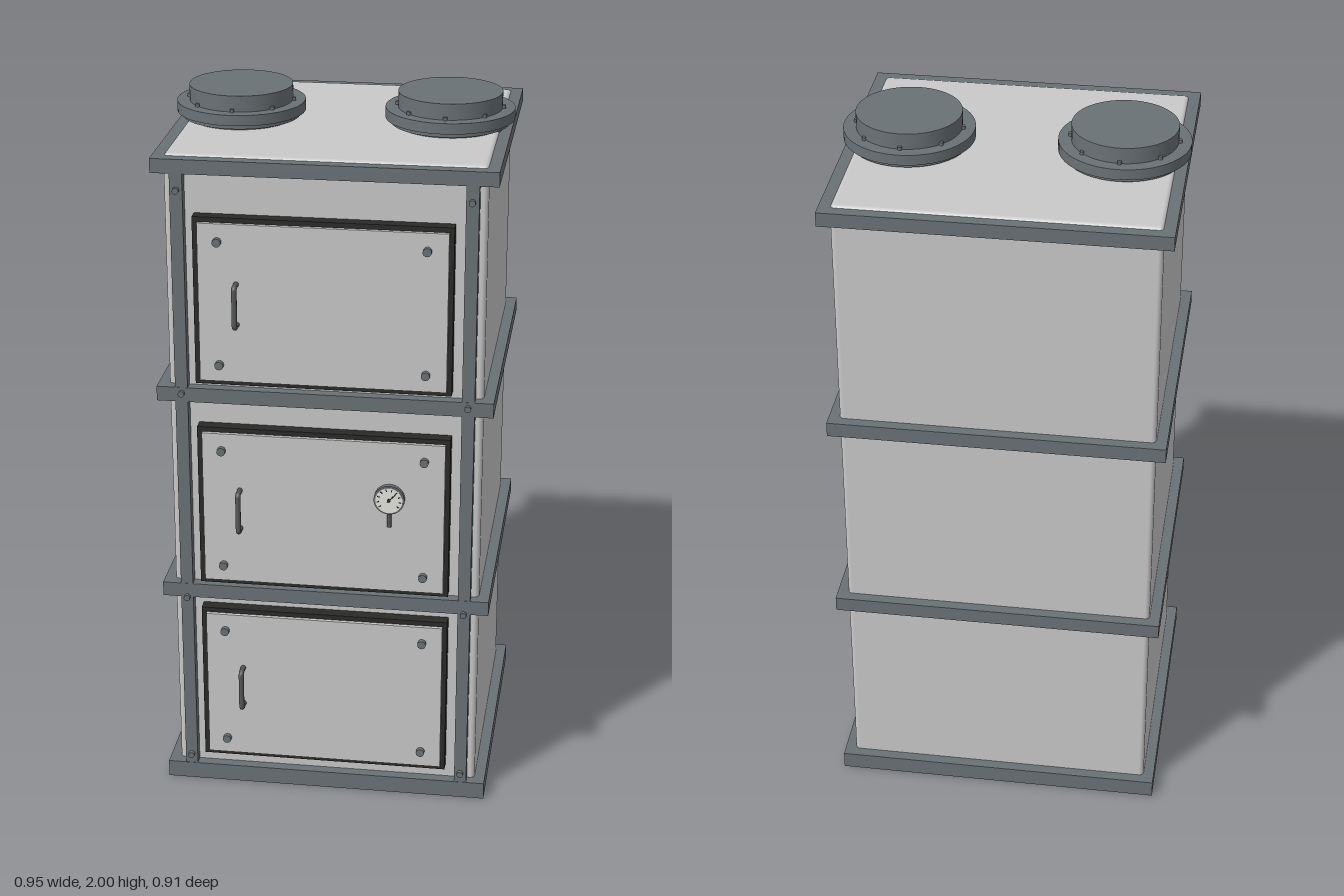
import * as THREE from 'three';
import { RoundedBoxGeometry } from 'three/addons/geometries/RoundedBoxGeometry.js';

const mat = (name, color) => {
  const m = new THREE.MeshStandardMaterial({ color });
  m.name = name;
  return m;
};

export function createModel() {
  const panel = mat('light grey panel', 0xc9c9c9);
  const steel = mat('frame steel', 0x6a7175);
  const rubber = mat('black gasket', 0x2a2a28);
  const handleMat = mat('dark handle', 0x55585a);
  const dialMat = mat('dial white', 0xe6e6e0);

  const root = new THREE.Group();
  root.name = 'stackedCabinet';

  const add = (parent, name, geo, m, x = 0, y = 0, z = 0) => {
    const mesh = new THREE.Mesh(geo, m);
    mesh.name = name;
    mesh.position.set(x, y, z);
    parent.add(mesh);
    return mesh;
  };
  const box = (parent, name, m, x0, x1, y0, y1, z0, z1) =>
    add(parent, name, new THREE.BoxGeometry(x1 - x0, y1 - y0, z1 - z0), m,
      (x0 + x1) / 2, (y0 + y1) / 2, (z0 + z1) / 2);
  // Short cylinder facing forward, from z0 to z1
  const stud = (parent, name, m, r, x, y, z0, z1, sides = 16) => {
    const geo = new THREE.CylinderGeometry(r, r, z1 - z0, sides).rotateX(Math.PI / 2);
    return add(parent, name, geo, m, x, y, (z0 + z1) / 2);
  };

  // Main body with softened edges, rising just above the top rail
  add(root, 'body', new RoundedBoxGeometry(0.874, 1.886, 0.795, 4, 0.014), panel, 0, 0.963, -0.0275);

  // Horizontal rails
  for (const [y0, y1] of [[0, 0.05], [0.6, 0.642], [1.205, 1.247], [1.86, 1.9]])
    box(root, 'rail', steel, -0.467, 0.467, y0, y1, -0.455, 0.4);

  // Front posts and their screws
  for (const s of [-1, 1]) {
    box(root, 'frontPost', steel, s * 0.3975 - 0.0175, s * 0.3975 + 0.0175, 0.04, 1.87, 0.355, 0.399);
    for (const y of [0.08, 0.6, 1.23, 1.815])
      stud(root, 'postScrew', steel, 0.009, s * 0.397, y, 0.39, 0.411);
  }

  // Doors with gasket, corner bolts and handle
  for (const y of [0.332, 0.895, 1.505]) {
    const door = new THREE.Group();
    door.name = 'door';
    door.position.y = y;
    root.add(door);
    box(door, 'doorGasket', rubber, -0.355, 0.352, -0.24, 0.24, 0.36, 0.405);
    box(door, 'doorPanel', panel, -0.34, 0.339, -0.226, 0.226, 0.39, 0.416);
    for (const x of [-0.285, 0.282])
      for (const dy of [-0.177, 0.176])
        stud(door, 'doorBolt', steel, 0.012, x, dy, 0.41, 0.43);

    const path = new THREE.CurvePath();
    const v = (py, z) => new THREE.Vector3(-0.235, py, z);
    path.add(new THREE.LineCurve3(v(-0.058, 0.41), v(-0.058, 0.44)));
    path.add(new THREE.QuadraticBezierCurve3(v(-0.058, 0.44), v(-0.058, 0.45), v(-0.048, 0.45)));
    path.add(new THREE.LineCurve3(v(-0.048, 0.45), v(0.048, 0.45)));
    path.add(new THREE.QuadraticBezierCurve3(v(0.048, 0.45), v(0.058, 0.45), v(0.058, 0.44)));
    path.add(new THREE.LineCurve3(v(0.058, 0.44), v(0.058, 0.41)));
    add(door, 'handle', new THREE.TubeGeometry(path, 48, 0.0075, 10), handleMat);
  }

  // Thermometer on the middle door
  const gauge = new THREE.Group();
  gauge.name = 'gauge';
  gauge.position.set(0.186, 0.955, 0);
  root.add(gauge);
  stud(gauge, 'gaugeCase', steel, 0.043, 0, 0, 0.41, 0.43, 32);
  stud(gauge, 'gaugeFace', dialMat, 0.038, 0, 0, 0.427, 0.432, 32);
  for (let i = 0; i < 10; i++) {
    const a = -0.65 + i * (Math.PI + 1.3) / 9;
    const tick = add(gauge, 'gaugeTick', new THREE.BoxGeometry(0.007, 0.0025, 0.002), rubber,
      0.031 * Math.cos(a), 0.031 * Math.sin(a), 0.4325);
    tick.rotation.z = a;
  }
  const needle = add(gauge, 'gaugeNeedle', new THREE.BoxGeometry(0.032, 0.003, 0.002), rubber, 0.006, 0.006, 0.433);
  needle.rotation.z = Math.PI / 4;
  stud(gauge, 'gaugeHub', rubber, 0.005, 0, 0, 0.43, 0.435);
  const stem = new THREE.CylinderGeometry(0.006, 0.006, 0.05, 12);
  add(gauge, 'gaugeStem', stem, handleMat, 0, -0.06, 0.42);

  // Round roof ports: base collar, bolted flange and cap
  for (const s of [-1, 1]) {
    const port = new THREE.Group();
    port.name = 'roofPort';
    port.position.set(s * 0.294, 0, -0.03);
    root.add(port);
    const disc = (name, r, y0, y1) =>
      add(port, name, new THREE.CylinderGeometry(r, r, y1 - y0, 64), steel, 0, (y0 + y1) / 2, 0);
    disc('portCollar', 0.15, 1.9, 1.93);
    disc('portLowerFlange', 0.165, 1.912, 1.93);
    disc('portFlange', 0.18, 1.925, 1.955);
    disc('portCap', 0.145, 1.95, 2);
    for (let i = 0; i < 8; i++) {
      const a = i * Math.PI / 4;
      add(port, 'portBolt', new THREE.CylinderGeometry(0.006, 0.006, 0.014, 10), steel,
        0.148 * Math.cos(a), 1.957, 0.148 * Math.sin(a));
    }
  }
  return root;
}
